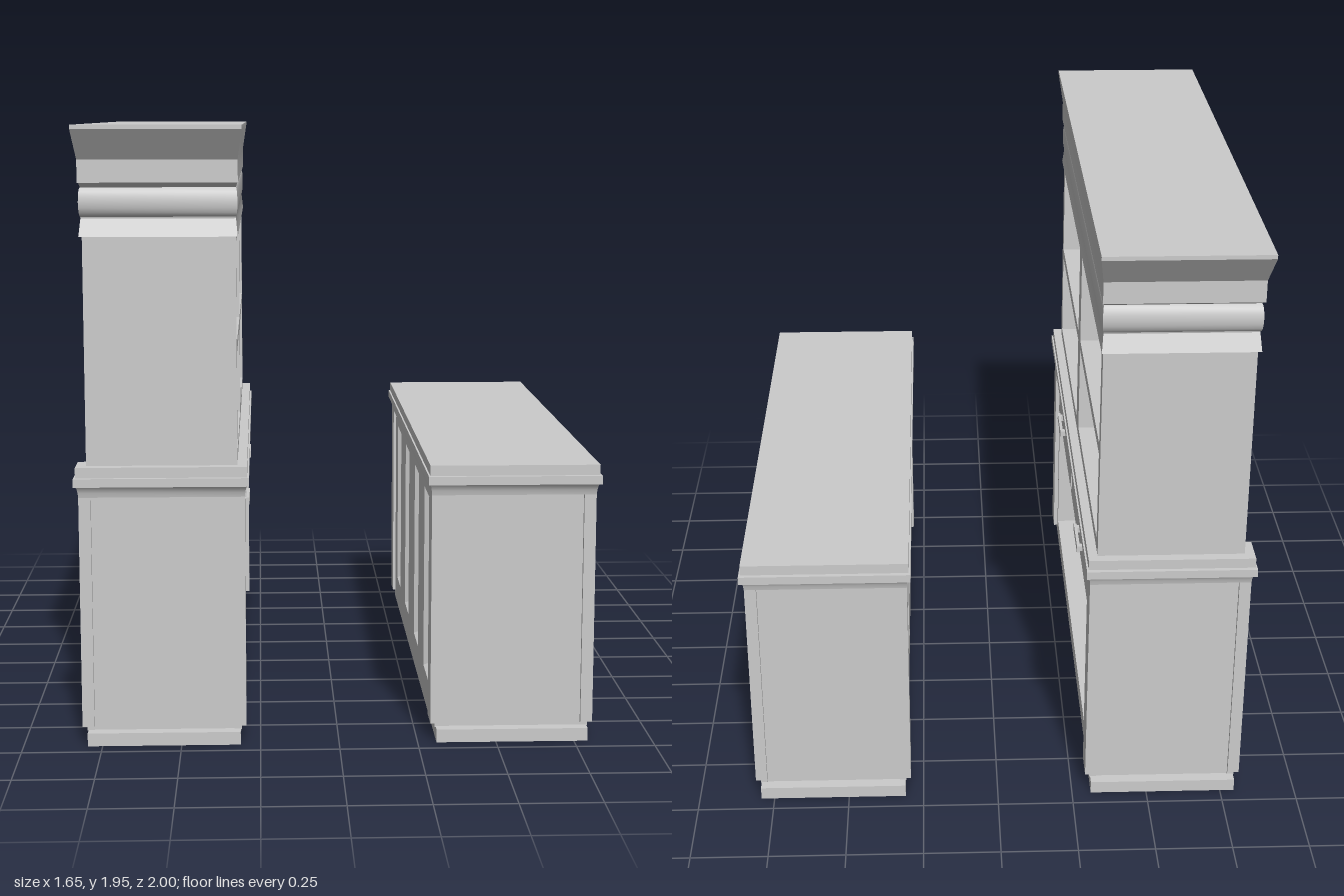
import * as THREE from 'three';
import { toCreasedNormals } from 'three/addons/utils/BufferGeometryUtils.js';

const mat = new THREE.MeshStandardMaterial({ color: 0xcccccc, side: THREE.DoubleSide });

function add(parent, name, geometry) {
  const mesh = new THREE.Mesh(geometry, mat);
  mesh.name = name;
  parent.add(mesh);
  return mesh;
}

// box given by its low and high limits on each axis
function box(parent, name, [x0, x1], [y0, y1], [z0, z1]) {
  const mesh = add(parent, name, new THREE.BoxGeometry(x1 - x0, y1 - y0, z1 - z0));
  mesh.position.set((x0 + x1) / 2, (y0 + y1) / 2, (z0 + z1) / 2);
  return mesh;
}

function rect(Type, u0, u1, v0, v1) {
  return new Type([[u0, v0], [u1, v0], [u1, v1], [u0, v1]].map(p => new THREE.Vector2(...p)));
}

// upright board facing x, with rectangular holes [z0, z1, y0, y1]
function board(parent, name, x, depth, outer, holes) {
  const flip = ([z0, z1, y0, y1]) => [-z1, -z0, y0, y1];
  const shape = rect(THREE.Shape, ...flip(outer));
  holes.forEach(h => shape.holes.push(rect(THREE.Path, ...flip(h))));
  const mesh = add(parent, name, new THREE.ExtrudeGeometry(shape, { depth, bevelEnabled: false }));
  mesh.rotation.y = Math.PI / 2;
  mesh.position.x = x;
}

// moulding swept round a rectangle; profile points are [outward offset, y]
// k scales the offset along x; closed goes all round, otherwise the back (-x) is
// open apart from short returns reaching in to z = ret
function moulding(parent, name, profile, hx, hz, k, closed, ret) {
  const ring = ([d, y]) => {
    const x = hx + d * k, z = hz + d;
    const p = [[-x, -z], [x, -z], [x, z], [-x, z]];
    if (closed) p.push([-x, -z]);
    else if (ret) { p.unshift([-x, -ret]); p.push([-x, ret]); }
    return p.map(([a, b]) => [a, y, b]);
  };
  const pos = [];
  for (let i = 0; i < profile.length - 1; i++) {
    const lo = ring(profile[i]), hi = ring(profile[i + 1]);
    for (let j = 0; j < lo.length - 1; j++) {
      pos.push(...lo[j], ...hi[j], ...hi[j + 1], ...lo[j], ...hi[j + 1], ...lo[j + 1]);
    }
  }
  const g = new THREE.BufferGeometry();
  g.setAttribute('position', new THREE.Float32BufferAttribute(pos, 3));
  add(parent, name, toCreasedNormals(g, 0.6));
}

// sunken panel: an open tray whose floor is smaller than its mouth
function sunkPanel(parent, side, x, z, y0, y1, w) {
  const depth = 0.025, inset = 0.012, h = y1 - y0;
  let g = new THREE.BoxGeometry(w, h, depth);
  const p = g.attributes.position;
  for (let i = 0; i < p.count; i++) {
    if (p.getZ(i) > 0) continue;
    p.setX(i, p.getX(i) - Math.sign(p.getX(i)) * inset);
    p.setY(i, p.getY(i) - Math.sign(p.getY(i)) * inset);
  }
  const index = [...g.index.array];
  index.splice(24, 6);
  g.setIndex(index);
  g = g.toNonIndexed();
  g.computeVertexNormals();
  const mesh = add(parent, 'sunkPanel', g);
  mesh.rotation.y = side * Math.PI / 2;
  mesh.position.set(side * (x - depth / 2), (y0 + y1) / 2, z);
}

// plinth frame, recessed end panels and corner posts shared by both cabinets
function carcass(parent) {
  const frame = rect(THREE.Shape, -0.242, 0.242, -0.945, 0.945);
  frame.holes.push(rect(THREE.Path, -0.21, 0.21, -0.9, 0.9));
  const plinth = add(parent, 'plinth', new THREE.ExtrudeGeometry(frame, { depth: 0.042, bevelEnabled: false }));
  plinth.rotation.x = -Math.PI / 2;
  for (const s of [-1, 1]) {
    const span = (a, b) => (s > 0 ? [a, b] : [-b, -a]);
    box(parent, 'endPanel', [-0.24, 0.24], [0.04, 0.83], span(0.895, 0.907));
    for (const t of [-1, 1]) {
      const xs = (a, b) => (t > 0 ? [a, b] : [-b, -a]);
      box(parent, 'cornerPost', xs(0.222, 0.26), [0.055, 0.8], span(0.82, 0.92));
      box(parent, 'postFoot', xs(0.222, 0.245), [0.04, 0.056], span(0.82, 0.91));
    }
  }
}

const edgeProfile = [[-0.02, 0.795], [0, 0.797], [0.003, 0.812], [0.009, 0.825], [0.018, 0.835],
  [0.032, 0.835], [0.032, 0.862], [0.018, 0.862], [0.018, 0.895]];

function buildCounter() {
  const g = new THREE.Group();
  g.name = 'counter';
  carcass(g);
  const centres = [0.62, 0.215, -0.215, -0.62], w = 0.175;
  const holes = centres.map(z => [z - w / 2, z + w / 2, 0.135, 0.75]);
  for (const s of [-1, 1]) {
    board(g, 'panelWall', s > 0 ? 0.24 : -0.25, 0.01, [-0.825, 0.825, 0.042, 0.83], holes);
    centres.forEach(z => sunkPanel(g, s, 0.25, z, 0.135, 0.75, w));
  }
  moulding(g, 'topMoulding', edgeProfile, 0.26, 0.92, 0.4, true);
  box(g, 'counterTop', [-0.267, 0.267], [0.875, 0.895], [-0.938, 0.938]);
  return g;
}

function buildHutch() {
  const g = new THREE.Group();
  g.name = 'backCabinet';
  carcass(g);

  // lower front: open niche under two drawers
  board(g, 'baseFrame', 0.235, 0.01, [-0.83, 0.83, 0.042, 0.83], [[-0.79, 0.79, 0.09, 0.58]]);
  box(g, 'nicheFloor', [0.015, 0.24], [0.08, 0.09], [-0.8, 0.8]);
  box(g, 'nicheTop', [0.015, 0.24], [0.575, 0.585], [-0.8, 0.8]);
  box(g, 'nicheBack', [0.01, 0.02], [0.08, 0.585], [-0.8, 0.8]);
  for (const s of [-1, 1]) {
    const span = (a, b) => (s > 0 ? [a, b] : [-b, -a]);
    box(g, 'nicheSide', [0.015, 0.24], [0.08, 0.585], span(0.79, 0.8));
    box(g, 'drawerFront', [0.24, 0.249], [0.605, 0.785], span(0.1, 0.78));
    // bar pull on two stubs
    box(g, 'drawerPull', [0.262, 0.272], [0.69, 0.715], span(0.365, 0.525));
    for (const z of [0.38, 0.51]) {
      box(g, 'pullStub', [0.245, 0.265], [0.693, 0.712], span(z - 0.01, z + 0.01));
    }
  }

  // counter-level edge with a deck running in to the upper case
  moulding(g, 'deckMoulding', [...edgeProfile, [-0.06, 0.895]], 0.26, 0.92, 0.4, false, 0.83);

  // upper case: face frame, sides and two open bays
  const bays = [[0.045, 0.855], [-0.855, -0.045]];
  const openings = bays.flatMap(([a, b]) => [[a, b, 0.93, 1.235], [a, b, 1.27, 1.59]]);
  board(g, 'upperFrame', 0.227, 0.01, [-0.905, 0.905, 0.89, 1.64], openings);
  for (const s of [-1, 1]) {
    box(g, 'upperSide', [-0.235, 0.235], [0.89, 1.66], s > 0 ? [0.895, 0.905] : [-0.905, -0.895]);
  }
  for (const [a, b] of bays) {
    const depth = [-0.235, 0.23];
    box(g, 'bayFloor', depth, [0.92, 0.93], [a - 0.008, b + 0.008]);
    box(g, 'bayShelf', depth, [1.235, 1.27], [a, b]);
    box(g, 'bayTop', depth, [1.59, 1.6], [a - 0.008, b + 0.008]);
    box(g, 'baySide', depth, [0.92, 1.6], [a - 0.008, a]);
    box(g, 'baySide', depth, [0.92, 1.6], [b, b + 0.008]);
  }

  // hollow crown: flared foot, rounded band, fascia and flare
  const crown = [[0.005, 1.61], [0.03, 1.61], [0.005, 1.665]];
  for (let i = 0; i <= 8; i++) {
    const t = i / 8 * Math.PI;
    crown.push([0.006 + 0.022 * Math.sin(t), 1.715 - 0.045 * Math.cos(t)]);
  }
  crown.push([0.022, 1.775], [0.036, 1.775], [0.036, 1.845], [0.1, 1.937], [0.1, 1.95]);
  moulding(g, 'crown', crown, 0.237, 0.9, 0.21, false);
  box(g, 'crownTop', [-0.258, 0.258], [1.937, 1.95], [-1, 1]);
  return g;
}

export function createModel() {
  const model = new THREE.Group();
  const counter = buildCounter(), hutch = buildHutch();
  counter.position.x = 0.552;
  hutch.position.x = -0.555;
  model.add(counter, hutch);
  return model;
}
